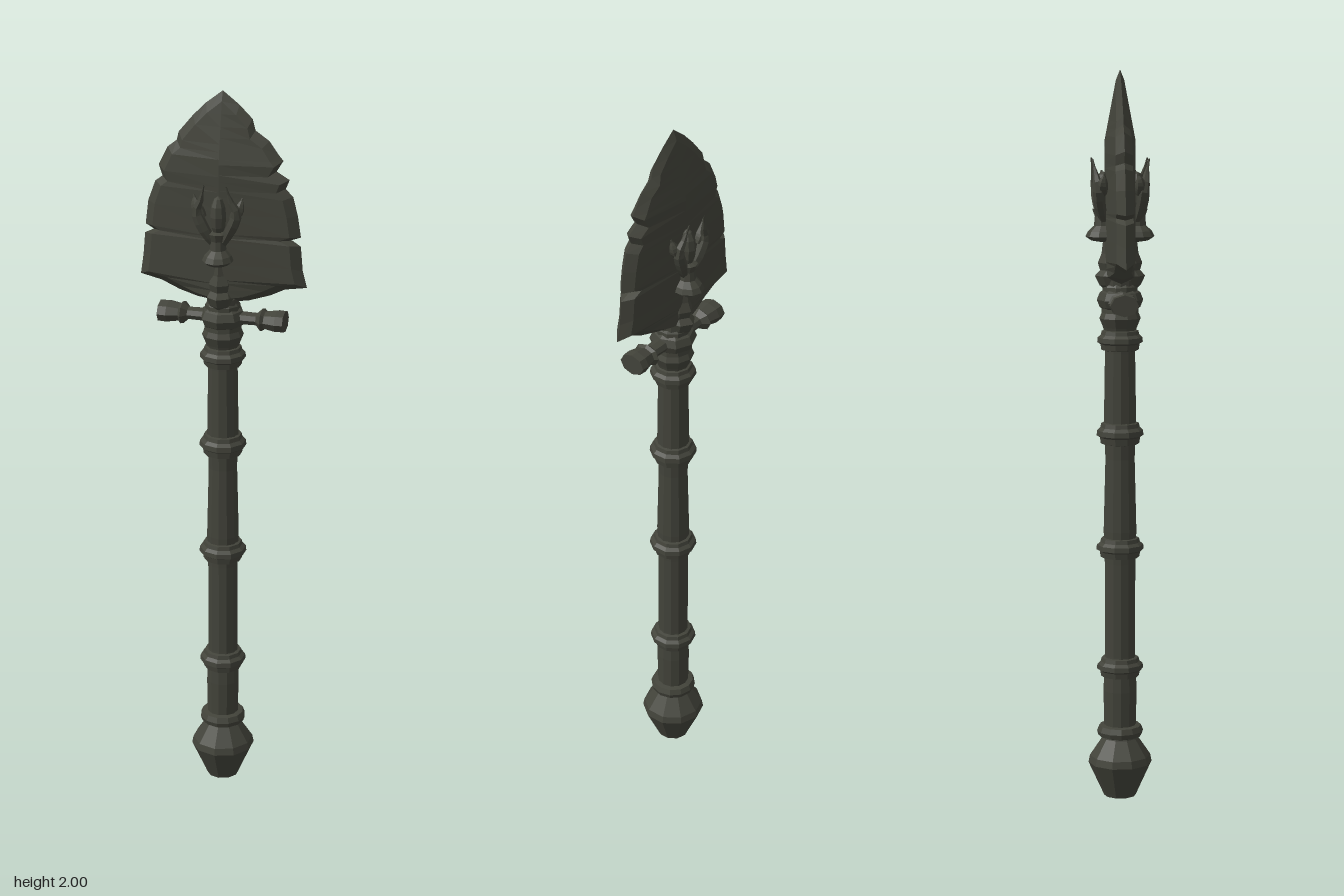
import * as THREE from 'three';

const iron = new THREE.MeshStandardMaterial({ color: 0x42433a, flatShading: true, side: THREE.DoubleSide });
iron.name = 'dark iron';

function add(parent, name, geometry) {
  const mesh = new THREE.Mesh(geometry, iron);
  mesh.name = name;
  parent.add(mesh);
  return mesh;
}

// Turned part from [radius, height] pairs
const turned = (pts, sides) => new THREE.LatheGeometry(pts.map(([r, y]) => new THREE.Vector2(r, y)), sides);

// Chipped blade: sharp rim, bevelled inner ring and raised centre ridge on both faces
function bladeGeometry() {
  const outline = [
    [0, 2], [0.045, 1.965], [0.08, 1.93], [0.088, 1.9], [0.125, 1.875], [0.15, 1.84], [0.163, 1.825], [0.145, 1.795],
    [0.18, 1.775], [0.17, 1.75], [0.19, 1.73], [0.203, 1.68], [0.212, 1.622], [0.18, 1.61], [0.212, 1.597],
    [0.218, 1.53], [0.23, 1.485], [0.17, 1.475], [0.13, 1.455], [0.07, 1.435], [0, 1.425],
    [-0.07, 1.435], [-0.12, 1.45], [-0.17, 1.472], [-0.228, 1.485], [-0.22, 1.54], [-0.215, 1.6], [-0.19, 1.612],
    [-0.213, 1.625], [-0.205, 1.69], [-0.185, 1.745], [-0.165, 1.76], [-0.175, 1.79], [-0.15, 1.84], [-0.125, 1.86],
    [-0.12, 1.882], [-0.08, 1.93], [-0.045, 1.965],
  ];
  const ridge = (y) => Math.min(0.042, 0.006 + (2 - y) * 0.19);
  const pos = [];
  const index = [];
  const n = outline.length;
  for (const side of [1, -1]) {
    const base = pos.length / 3;
    for (const [x, y] of outline) {
      const innerY = 1.66 + (y - 1.66) * 0.92;
      const r = ridge(innerY);
      pos.push(x, y, 0, x * 0.88, innerY, side * (r - Math.min(1, Math.abs(x) / 0.12) * r * 0.45));
      pos.push(0, innerY, side * r);
    }
    for (let i = 0; i < n; i++) {
      const a = base + i * 3;
      const b = base + ((i + 1) % n) * 3;
      for (let k = 0; k < 2; k++) {
        const quad = [a + k, a + k + 1, b + k, b + k, a + k + 1, b + k + 1];
        index.push(...(side > 0 ? quad : quad.reverse()));
      }
    }
  }
  const g = new THREE.BufferGeometry();
  g.setAttribute('position', new THREE.Float32BufferAttribute(pos, 3));
  g.setIndex(index);
  g.computeVertexNormals();
  return g;
}

// Tapered curved horn
function hornGeometry(points) {
  const curve = new THREE.CatmullRomCurve3(points.map((p) => new THREE.Vector3(...p)));
  const g = new THREE.TubeGeometry(curve, 8, 0.015, 6);
  const p = g.attributes.position;
  const v = new THREE.Vector3();
  for (let i = 0; i < p.count; i++) {
    const t = Math.floor(i / 7) / 8;
    const c = curve.getPointAt(t);
    v.fromBufferAttribute(p, i).sub(c).multiplyScalar(0.5 + 0.7 * Math.sin(Math.PI * Math.min(1, t + 0.1)) - 0.35 * t).add(c);
    p.setXYZ(i, v.x, v.y, v.z);
  }
  g.computeVertexNormals();
  return g;
}

function makeOrnament() {
  const g = new THREE.Group();
  g.name = 'bladeOrnament';
  // Flared foot and stem
  const foot = add(g, 'ornamentFoot', turned([[0, 1.54], [0.028, 1.545], [0.042, 1.556], [0.036, 1.57], [0.022, 1.585], [0.02, 1.61], [0.026, 1.63], [0, 1.64]], 10));
  foot.position.z = 0.045;
  foot.scale.z = 1.15;
  // Central bud
  const bud = add(g, 'ornamentBud', new THREE.SphereGeometry(1, 8, 6));
  bud.scale.set(0.022, 0.055, 0.026);
  bud.position.set(0, 1.675, 0.045);
  // Paired horns
  for (const s of [-1, 1]) {
    add(g, 'ornamentHorn', hornGeometry([[s * 0.012, 1.6, 0.045], [s * 0.035, 1.64, 0.056], [s * 0.054, 1.69, 0.062], [s * 0.04, 1.725, 0.068], [s * 0.03, 1.765, 0.076]]));
    add(g, 'ornamentLeaf', hornGeometry([[s * 0.04, 1.67, 0.05], [s * 0.058, 1.7, 0.05], [s * 0.066, 1.73, 0.045]]));
  }
  return g;
}

export function createModel() {
  const model = new THREE.Group();
  model.name = 'spadeSpear';

  // Shaft, slightly uneven along its length
  add(model, 'shaft', turned([[0.043, 0.15], [0.046, 0.3], [0.042, 0.4], [0.042, 0.66], [0.045, 0.75], [0.04, 0.95], [0.044, 1.05], [0.041, 1.24], [0.043, 1.44], [0, 1.46]], 12));

  // Faceted pommel
  add(model, 'pommel', turned([[0, 0], [0.045, 0], [0.05, 0.012], [0.088, 0.095], [0.084, 0.115], [0.05, 0.165], [0.046, 0.18]], 10));
  add(model, 'pommelRing', turned([[0.04, 0.165], [0.06, 0.172], [0.064, 0.185], [0.058, 0.2], [0.04, 0.203]], 12));

  // Collars along the shaft
  for (const [y, r, h] of [[0.367, 0.064, 0.026], [0.703, 0.065, 0.026], [1.02, 0.064, 0.028], [1.275, 0.062, 0.026]]) {
    add(model, 'collar', turned([[0.04, y - h * 1.1], [r * 0.82, y - h], [r * 0.86, y - h * 0.4], [r, y - h * 0.2], [r * 0.98, y + h * 0.3], [r * 0.84, y + h * 0.6], [r * 0.8, y + h], [0.04, y + h * 1.1]], 10));
  }
  add(model, 'neckCollar', turned([[0.04, 1.29], [0.046, 1.31], [0.056, 1.335], [0.05, 1.35], [0.047, 1.42], [0.04, 1.43]], 10));

  // Crossguard with flared ends
  const guard = add(model, 'crossguard', turned([[0, -0.174], [0.029, -0.174], [0.03, -0.15], [0.024, -0.118], [0.031, -0.11], [0.017, -0.095], [0.019, 0], [0.017, 0.095], [0.031, 0.11], [0.024, 0.118], [0.03, 0.15], [0.029, 0.172], [0, 0.172]], 8));
  guard.rotation.z = -Math.PI / 2;
  guard.position.y = 1.385;
  guard.scale.z = 1.3;
  add(model, 'guardBinding', turned([[0.04, 1.355], [0.055, 1.365], [0.063, 1.385], [0.055, 1.405], [0.04, 1.415]], 8));

  // Blade and its socket
  add(model, 'blade', bladeGeometry());
  const socket = add(model, 'bladeSocket', turned([[0.04, 1.41], [0.056, 1.425], [0.068, 1.45], [0.054, 1.465], [0.06, 1.485], [0.05, 1.51], [0.044, 1.56], [0, 1.62]], 8));
  socket.scale.x = 0.62;

  // Ornaments on both faces
  const front = makeOrnament();
  const back = makeOrnament();
  back.rotation.y = Math.PI;
  model.add(front, back);
  return model;
}
